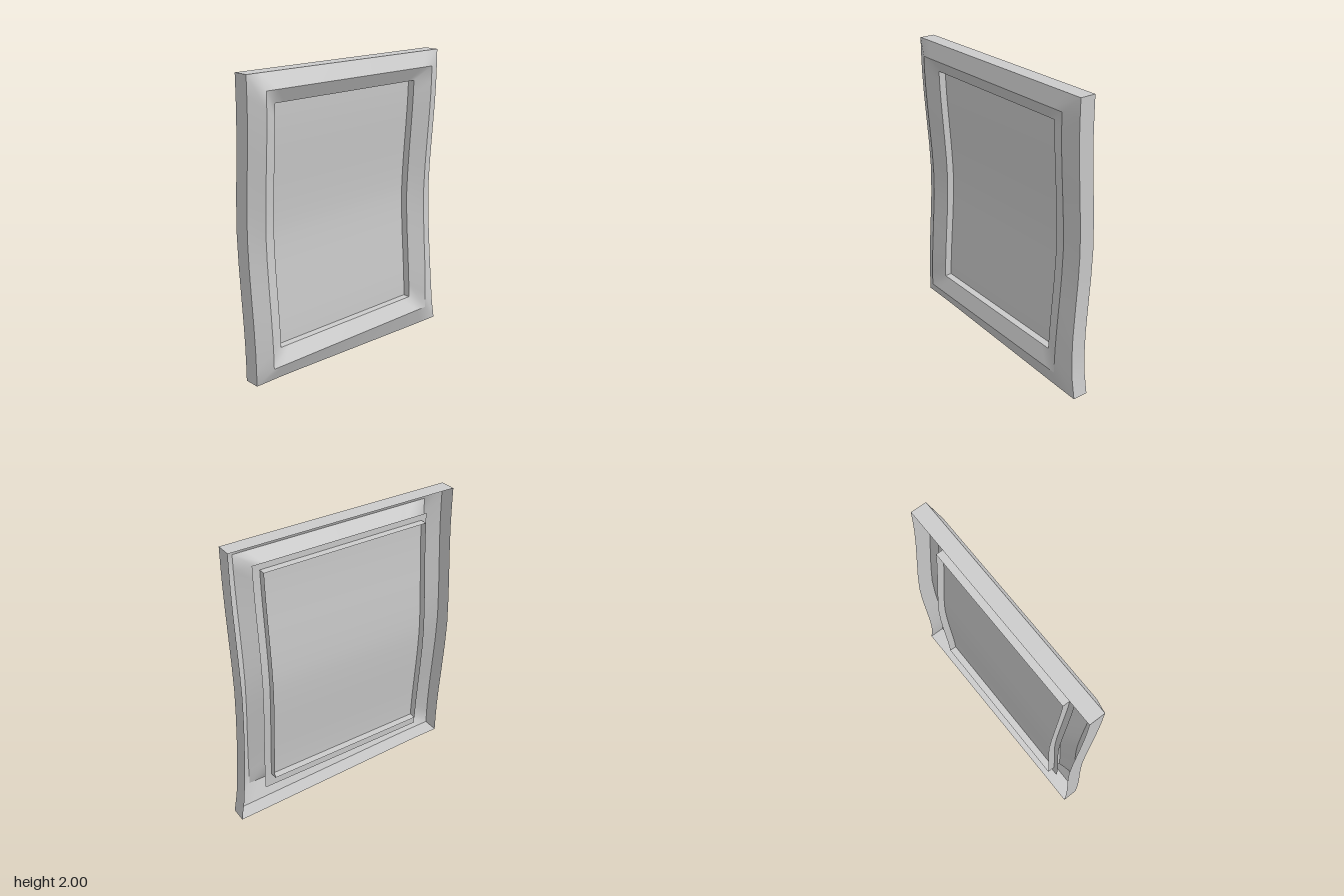
import * as THREE from 'three';
import { toCreasedNormals } from 'three/addons/utils/BufferGeometryUtils.js';

const material = new THREE.MeshStandardMaterial({ color: 0xcccccc, side: THREE.DoubleSide });
const clamp01 = (v) => Math.min(1, Math.max(0, v));

// Backward bow of the whole piece, strongest at mid height
function bow(y) {
  const t = clamp01(Math.abs(y - 1.01) / 0.82);
  return -0.045 * (0.7 * (0.5 + 0.5 * Math.cos(Math.PI * t)) + 0.3 * (1 - t));
}

// Pulled-out lower corner of the outer rim
function pullCorner(x, y) {
  const dx = x > 0.7 ? 0.05 * Math.exp((0.04 - y) / 0.17) * clamp01((x - 0.7) / 0.08) : 0;
  const dy = 0.04 * clamp01((x + 0.6) / 1.38) * clamp01(1 - (y - 0.04) / 0.2);
  return [x + dx, y - dy];
}

// Places along each side, closer together near the corners
const steps = [0, 0.06, 0.12, 0.2, 0.3, 0.4, 0.5, 0.6, 0.7, 0.8, 0.88, 0.94];

// Closed rectangular loop of points, anticlockwise from the front
function loop({ x0, x1, y0, y1, z, outer }) {
  const corners = [[x0, y0], [x1, y0], [x1, y1], [x0, y1]];
  const points = [];
  corners.forEach(([ax, ay], i) => {
    const [bx, by] = corners[(i + 1) % 4];
    for (const t of steps) {
      let x = ax + (bx - ax) * t;
      let y = ay + (by - ay) * t;
      const depth = z + bow(y);
      if (outer) [x, y] = pullCorner(x, y);
      points.push([x, y, depth]);
    }
  });
  return points;
}

// Band of faces joining two loops
function band(name, from, to) {
  const a = loop(from);
  const b = loop(to);
  const n = a.length;
  const index = [];
  for (let i = 0; i < n; i++) {
    const j = (i + 1) % n;
    index.push(i, j, n + j, i, n + j, n + i);
  }
  const geometry = new THREE.BufferGeometry();
  geometry.setAttribute('position', new THREE.Float32BufferAttribute([...a, ...b].flat(), 3));
  geometry.setIndex(index);
  const mesh = new THREE.Mesh(toCreasedNormals(geometry, 0.7), material);
  mesh.name = name;
  return mesh;
}

// Bowed rectangular sheet
function sheet(name, x0, x1, y0, y1, z) {
  const geometry = new THREE.PlaneGeometry(x1 - x0, y1 - y0, 1, 24);
  geometry.translate((x0 + x1) / 2, (y0 + y1) / 2, 0);
  const p = geometry.attributes.position;
  for (let i = 0; i < p.count; i++) p.setZ(i, z + bow(p.getY(i)));
  geometry.computeVertexNormals();
  const mesh = new THREE.Mesh(geometry, material);
  mesh.name = name;
  return mesh;
}

export function createModel() {
  const group = new THREE.Group();
  group.name = 'pictureFrame';

  const rim = { x0: -0.83, x1: 0.78, y0: 0.04, y1: 2, outer: true };
  const rimBack = { ...rim, z: -0.052 };
  const rimFront = { ...rim, z: 0.055 };
  const ridge = { x0: -0.725, x1: 0.68, y0: 0.14, y1: 1.9, z: 0.1 };
  const opening = { x0: -0.625, x1: 0.56, y0: 0.24, y1: 1.81 };

  group.add(
    // Hollow moulding, open at the back
    band('outerWall', rimBack, rimFront),
    band('outerBevel', rimFront, ridge),
    band('innerBevel', ridge, { ...opening, z: 0.05 }),
    // Thin wall around the opening, standing out behind the panel
    band('openingWall', { ...opening, z: 0.05 }, { ...opening, z: -0.05 }),
    // Panel, a little larger than the opening
    sheet('panel', -0.665, 0.61, 0.14, 1.85, 0),
  );
  return group;
}
